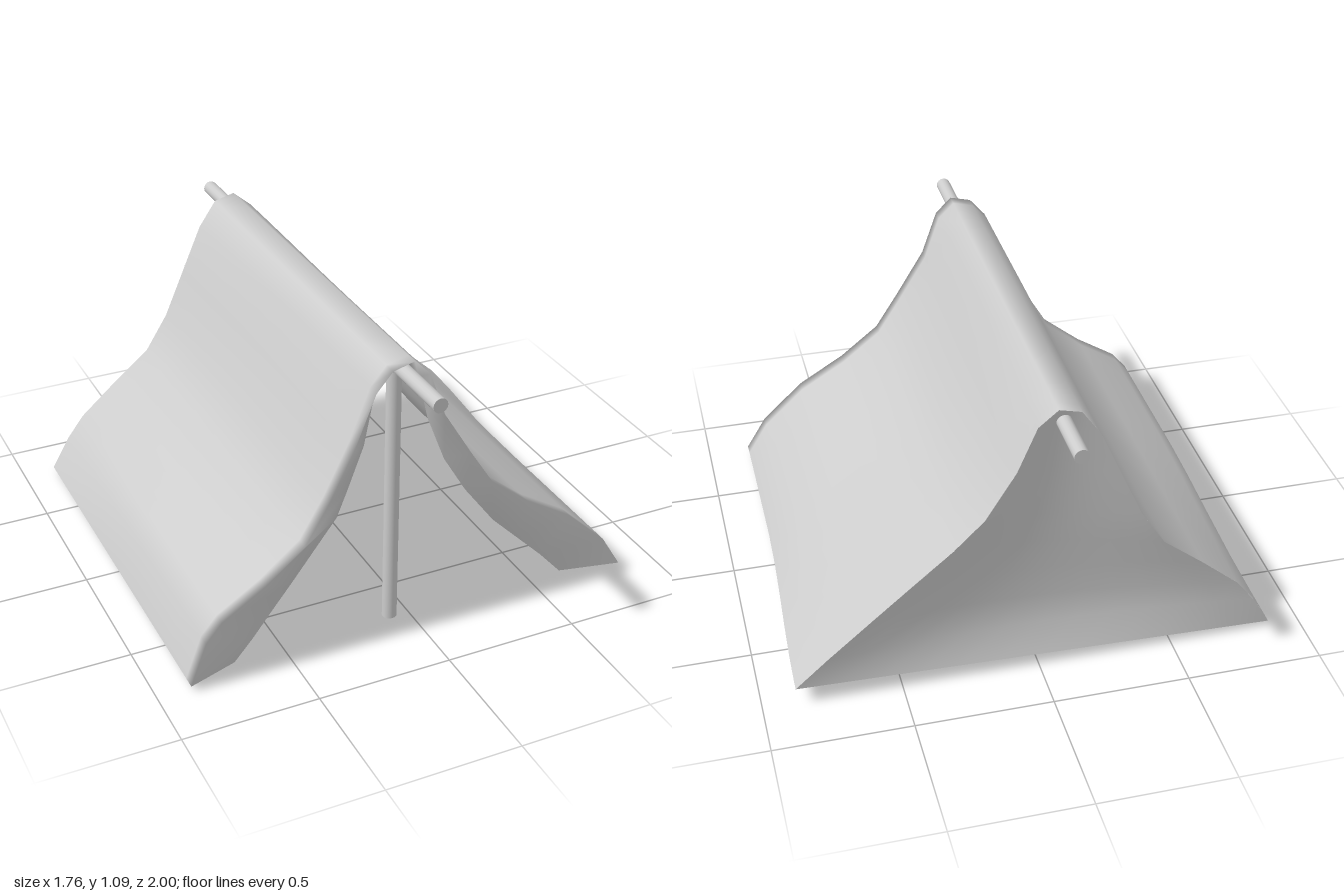
import * as THREE from 'three';

const material = new THREE.MeshStandardMaterial({ color: 0xcccccc });
const clothMaterial = new THREE.MeshStandardMaterial({ color: 0xcccccc, side: THREE.DoubleSide });

// Cloth cross-sections [x, y], from the -x hem over the ridge to the +x hem
const frontEdge = [[-.88, .02], [-.82, .18], [-.76, .25], [-.6, .35], [-.45, .47], [-.36, .62],
  [-.27, .8], [-.19, 1], [-.13, 1.07], [-.05, 1.09], [.01, 1.03], [.07, .86], [.18, .68],
  [.27, .54], [.42, .42], [.6, .31], [.76, .16], [.84, .03]];
const frontFold = [[-.7, .03], [-.63, .11], [-.56, .2], [-.48, .3], [-.31, .52], [-.27, .62],
  [-.21, .78], [-.17, .98], [-.12, 1.05], [-.05, 1.06], [-.01, 1], [.03, .83], [.1, .65],
  [.19, .5], [.31, .34], [.42, .23], [.52, .13], [.61, .03]];
const backEdge = [[-.88, .02], [-.81, .14], [-.74, .23], [-.6, .35], [-.45, .47], [-.36, .61],
  [-.28, .79], [-.2, .97], [-.13, 1.07], [-.05, 1.09], [.02, 1.03], [.09, .86], [.2, .68],
  [.31, .57], [.45, .45], [.6, .32], [.76, .18], [.88, .07]];

// Smooth sheet through equally long rows of [x, y, z] points
function sheet(name, rows) {
  const n = rows[0].length;
  const index = [];
  for (let r = 0; r < rows.length - 1; r++) {
    for (let c = 0; c < n - 1; c++) {
      const a = r * n + c, b = a + n;
      index.push(a, b, a + 1, a + 1, b, b + 1);
    }
  }
  const geometry = new THREE.BufferGeometry();
  geometry.setAttribute('position', new THREE.Float32BufferAttribute(rows.flat(2), 3));
  geometry.setIndex(index);
  geometry.computeVertexNormals();
  const mesh = new THREE.Mesh(geometry, clothMaterial);
  mesh.name = name;
  return mesh;
}

function pole(name, length) {
  const mesh = new THREE.Mesh(new THREE.CylinderGeometry(.027, .027, length, 16), material);
  mesh.name = name;
  return mesh;
}

export function createModel() {
  const group = new THREE.Group();
  group.name = 'tent';

  // Draped cover, with its front edge folded inward as a flap
  const rows = [frontFold.map(([x, y]) => [x, y, .73])];
  for (const z of [.78, .73, .55, .35, .15, -.05, -.25, -.45, -.62, -.75, -.795]) {
    const w = 1 - THREE.MathUtils.smoothstep(z, -.85, .2);
    rows.push(frontEdge.map(([x, y], i) => [
      THREE.MathUtils.lerp(x, backEdge[i][0], w),
      THREE.MathUtils.lerp(y, backEdge[i][1], w), z]));
  }
  group.add(sheet('cover', rows));

  // Back panel spanning the cover's rear edge, sagging slightly inward
  const panelRows = [];
  for (let i = 0; i < 9; i++) {
    const left = backEdge[i], right = backEdge[17 - i], row = [];
    for (let c = 0; c <= 12; c++) {
      const t = c / 12;
      const sag = .05 * Math.sin(Math.PI * t) * Math.sin(Math.PI * Math.sqrt(i / 8));
      row.push([THREE.MathUtils.lerp(left[0], right[0], t),
        THREE.MathUtils.lerp(left[1], right[1], t), -.795 + sag]);
    }
    panelRows.push(row);
  }
  group.add(sheet('backPanel', panelRows));

  // Ridge pole and the upright that carries its front
  const ridge = pole('ridgePole', 2);
  ridge.rotation.x = Math.PI / 2;
  ridge.position.set(-.07, 1.04, 0);
  const upright = pole('frontPole', 1.04);
  upright.position.set(-.07, .52, .67);
  group.add(ridge, upright);

  return group;
}
